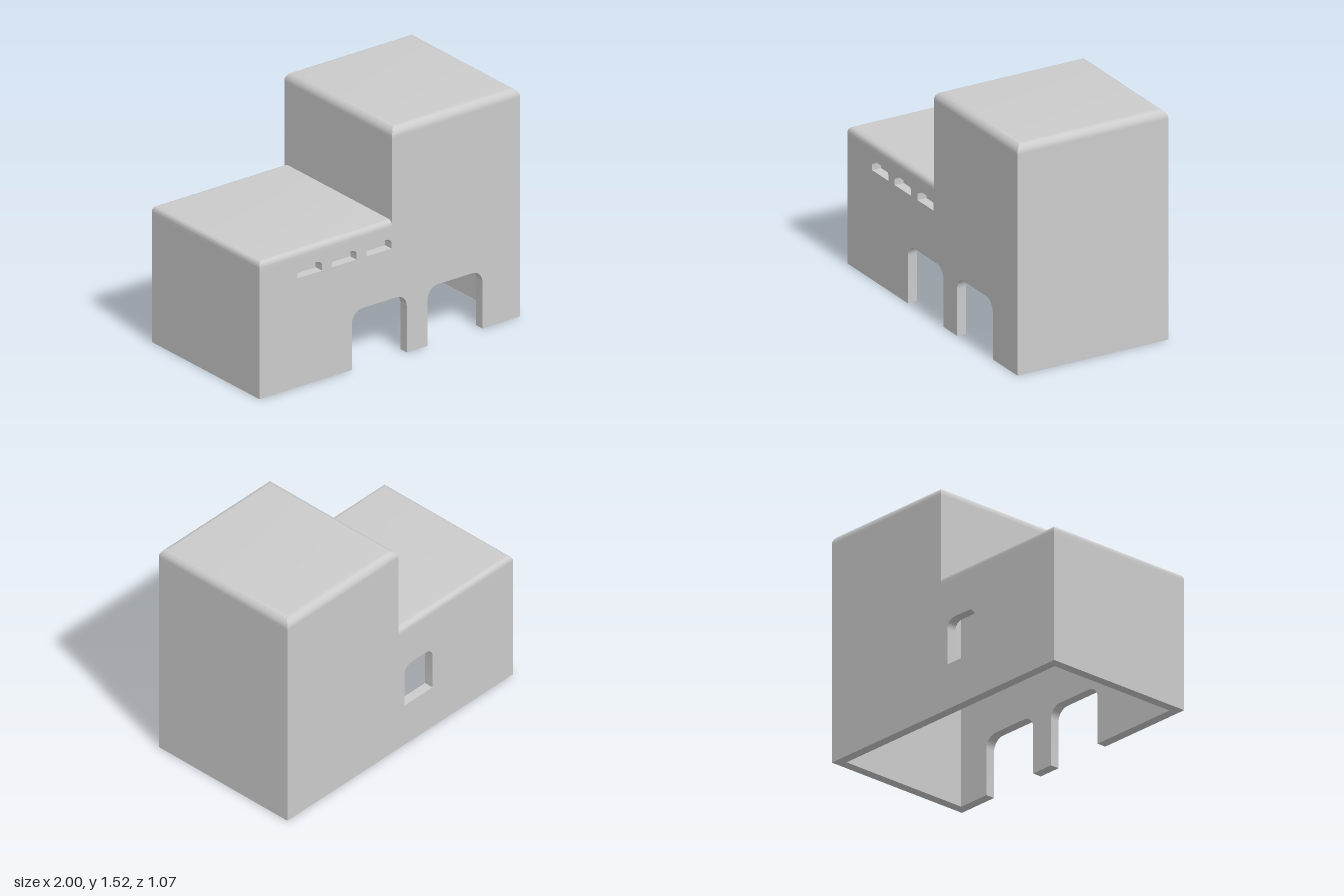
import * as THREE from 'three';
import { toCreasedNormals } from 'three/addons/utils/BufferGeometryUtils.js';

const T = 0.063;            // wall thickness
const D = 0.535;            // half depth
const STEP = 0.017;         // x where the tower begins
const LOW = 0.91, HIGH = 1.52;
const EAVE_LOW = LOW - T, EAVE_HIGH = HIGH - T;

const material = new THREE.MeshStandardMaterial({ color: 0xcccccc });

function addMesh(group, name, geometry) {
  const mesh = new THREE.Mesh(toCreasedNormals(geometry, Math.PI / 6), material);
  mesh.name = name;
  group.add(mesh);
  return mesh;
}

function addBox(group, name, x0, x1, y0, y1, z0, z1) {
  const box = addMesh(group, name, new THREE.BoxGeometry(x1 - x0, y1 - y0, z1 - z0));
  box.position.set((x0 + x1) / 2, (y0 + y1) / 2, (z0 + z1) / 2);
}

// Traces an opening with rounded upper corners, from lower left to lower right
function traceOpening(path, x0, x1, y0, y1, rx, ry = rx) {
  path.lineTo(x0, y0);
  path.lineTo(x0, y1 - ry);
  path.absellipse(x0 + rx, y1 - ry, rx, ry, Math.PI, Math.PI / 2, true);
  path.lineTo(x1 - rx, y1);
  path.absellipse(x1 - rx, y1 - ry, rx, ry, Math.PI / 2, 0, true);
  path.lineTo(x1, y0);
}

function opening(x0, x1, y0, y1, rx, ry) {
  const path = new THREE.Path();
  path.moveTo(x0, y0);
  traceOpening(path, x0, x1, y0, y1, rx, ry);
  path.closePath();
  return path;
}

// Stepped wall outline; doors are notches in the bottom edge
function wallGeometry(doors, holes) {
  const shape = new THREE.Shape();
  shape.moveTo(-1, 0);
  for (const [x0, x1] of doors) traceOpening(shape, x0, x1, 0, 0.39, 0.08);
  shape.lineTo(1, 0);
  shape.lineTo(1, EAVE_HIGH);
  shape.lineTo(STEP, EAVE_HIGH);
  shape.lineTo(STEP, EAVE_LOW);
  shape.lineTo(-1, EAVE_LOW);
  shape.closePath();
  shape.holes.push(...holes);
  return new THREE.ExtrudeGeometry(shape, { depth: T, bevelEnabled: false, curveSegments: 10 });
}

// Flat slab whose upper edges are rounded; the right edge may stay square
function roofGeometry(x0, x1, yBase, yTop, r, roundRight) {
  const rings = [[0, yBase]];
  const n = 8;
  for (let i = 0; i <= n; i++) {
    const a = (i / n) * Math.PI / 2;
    rings.push([r * (1 - Math.cos(a)), yTop - r + r * Math.sin(a)]);
  }
  const corners = rings.map(([d, y]) => {
    const right = roundRight ? x1 - d : x1;
    return [[x0 + d, y, D - d], [right, y, D - d], [right, y, -D + d], [x0 + d, y, -D + d]];
  });
  const positions = [];
  const quad = (a, b, c, d) => positions.push(...a, ...b, ...c, ...a, ...c, ...d);
  for (let i = 0; i < corners.length - 1; i++) {
    for (let k = 0; k < 4; k++) {
      const m = (k + 1) % 4;
      quad(corners[i][k], corners[i][m], corners[i + 1][m], corners[i + 1][k]);
    }
  }
  quad(...corners[corners.length - 1]);
  quad(...[...corners[0]].reverse());
  const geometry = new THREE.BufferGeometry();
  geometry.setAttribute('position', new THREE.Float32BufferAttribute(positions, 3));
  geometry.computeVertexNormals();
  return geometry;
}

export function createModel() {
  const building = new THREE.Group();
  building.name = 'building';

  // Front wall with two doorways and three slit windows
  const slits = [-0.71, -0.445, -0.178].map((x) => opening(x, x + 0.19, 0.725, 0.795, 0.05, 0.035));
  const front = addMesh(building, 'frontWall', wallGeometry([[-0.29, 0.13], [0.29, 0.71]], slits));
  front.position.z = D - T;

  // Panel closing the slit windows from inside
  addBox(building, 'slitBacking', -0.74, 0.05, 0.7, 0.82, D - T - 0.015, D - T);

  // Back wall with one window
  const back = addMesh(building, 'backWall', wallGeometry([], [opening(-0.287, -0.04, 0.3, 0.6, 0.06)]));
  back.position.z = -D;

  // End walls and the tower wall above the low roof
  addBox(building, 'rightWall', -1, -1 + T, 0, EAVE_LOW, -D + T, D - T);
  addBox(building, 'leftWall', 1 - T, 1, 0, EAVE_HIGH, -D + T, D - T);
  addBox(building, 'towerWall', STEP, STEP + T, EAVE_LOW, EAVE_HIGH, -D + T, D - T);

  // Roof slabs with rounded edges
  addMesh(building, 'lowRoof', roofGeometry(-1, STEP, EAVE_LOW, LOW, 0.035, false));
  addMesh(building, 'towerRoof', roofGeometry(STEP, 1, EAVE_HIGH, HIGH, 0.055, true));

  return building;
}
